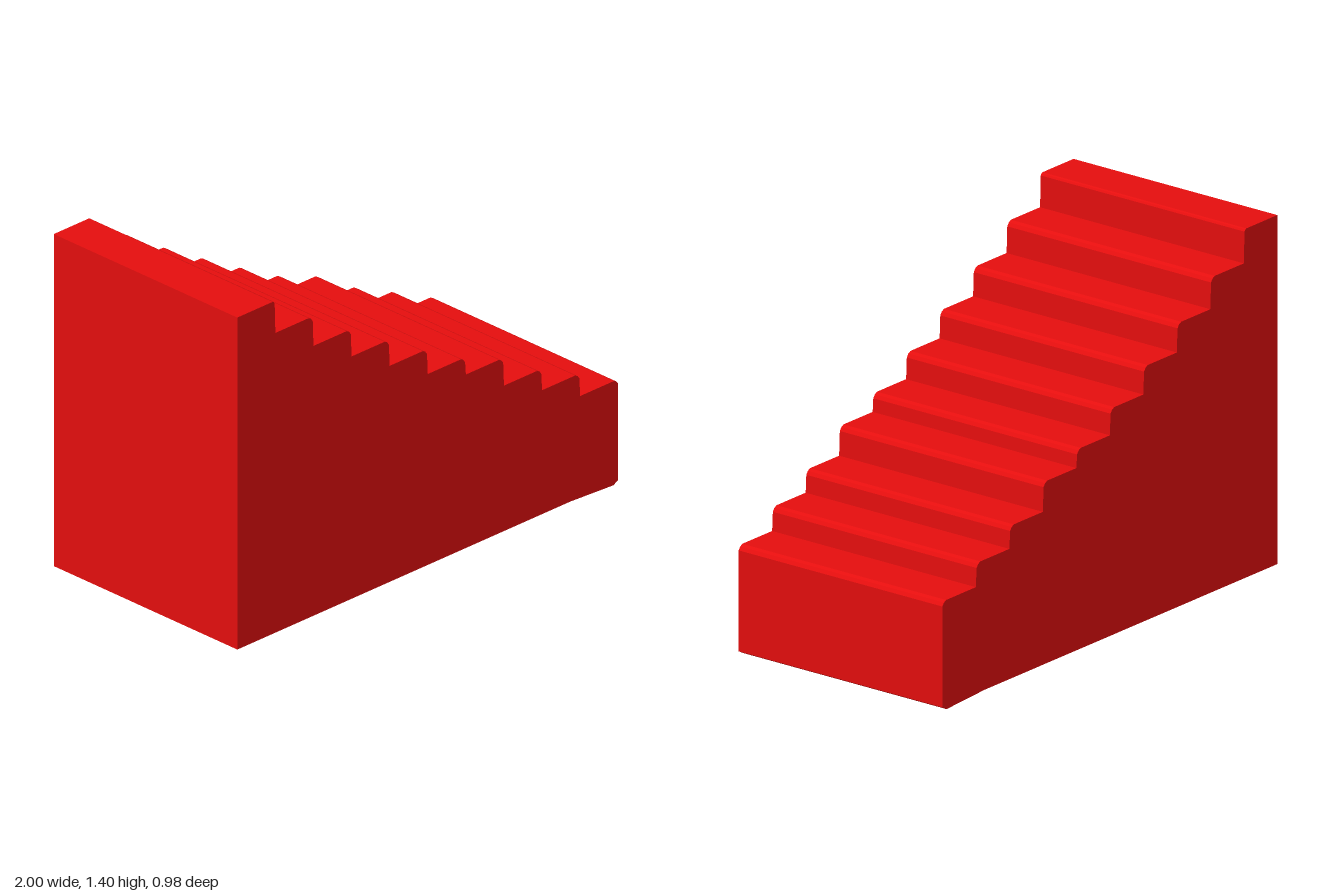
import * as THREE from 'three';

const DEPTH = 0.975;
// height of each tread, from the tallest step on the right to the lowest on the left
const TREADS = [1.4, 1.265, 1.14, 1.025, 0.915, 0.81, 0.737, 0.62, 0.53, 0.435];

// stepped side profile with a small worn chamfer on each nosing
function stairProfile() {
  const shape = new THREE.Shape();
  const run = 2 / TREADS.length;
  shape.moveTo(-1, 0.012);
  shape.lineTo(0.75, 0.012);
  shape.lineTo(0.975, 0);
  shape.lineTo(1, 0.014);
  for (let i = TREADS.length - 1; i >= 0; i--) {
    const y = TREADS[i];
    const x = -1 + run * (i + 1) - (i < TREADS.length - 1 ? 0.004 : 0);
    const drop = i === 0 ? 0.01 : 0.02;
    if (i < TREADS.length - 1) shape.lineTo(x + 0.004, TREADS[i + 1]);
    shape.lineTo(x, y - drop);
    shape.lineTo(x - drop * 0.45, y - drop * 0.35);
    shape.lineTo(x - drop * 1.1, y);
  }
  shape.lineTo(-1, TREADS[0]);
  shape.closePath();
  return shape;
}

export function createModel() {
  const model = new THREE.Group();
  model.name = 'staircase';

  // solid block of steps
  const geometry = new THREE.ExtrudeGeometry(stairProfile(), { depth: DEPTH, bevelEnabled: false });
  geometry.translate(0, 0, -DEPTH / 2);
  const material = new THREE.MeshStandardMaterial({ color: 0xe60e0e, flatShading: true });
  const steps = new THREE.Mesh(geometry, material);
  steps.name = 'steps';
  model.add(steps);
  return model;
}
